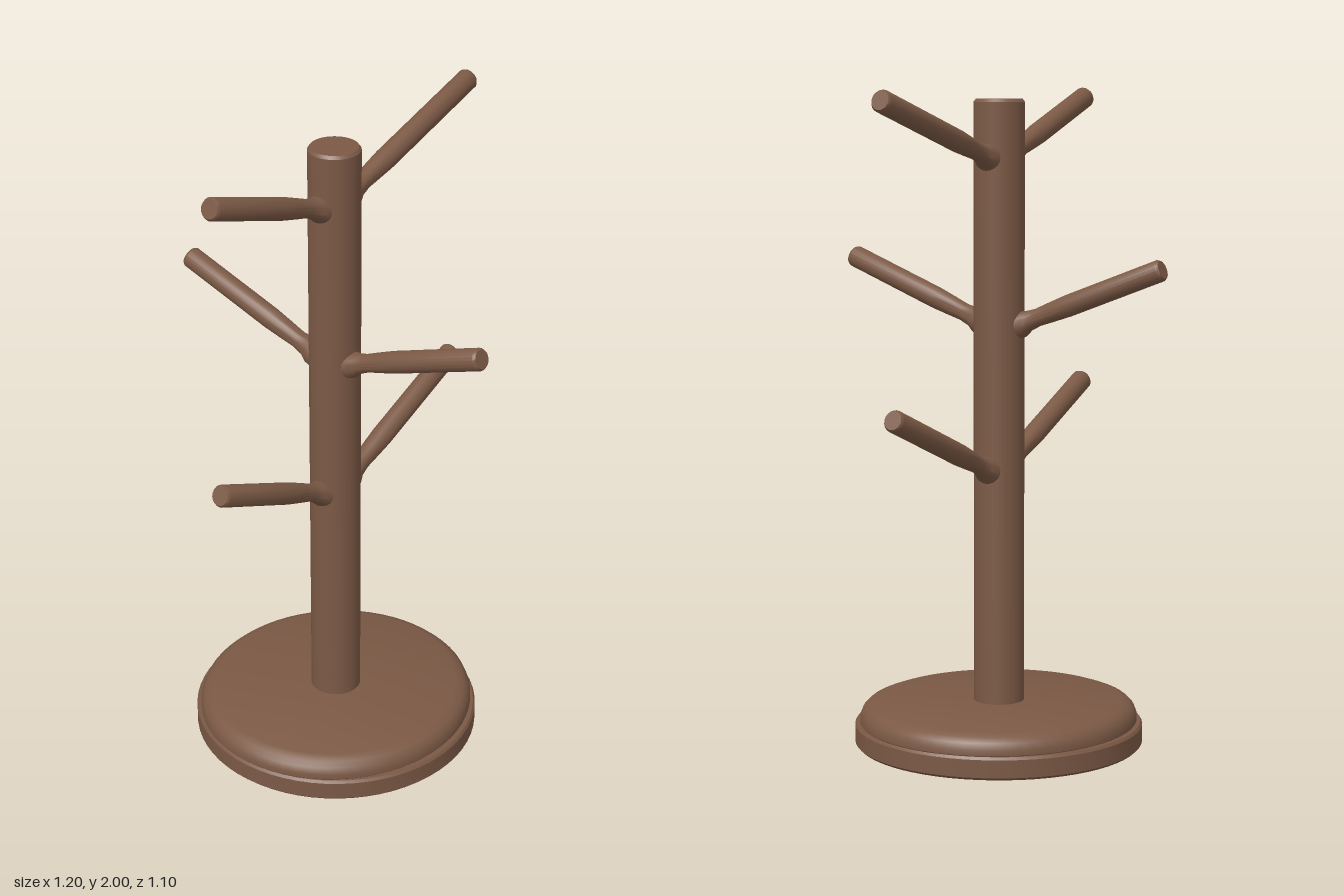
import * as THREE from 'three';
import { toCreasedNormals } from 'three/addons/utils/BufferGeometryUtils.js';

const wood = new THREE.MeshStandardMaterial({ color: 0x7b5945 });
wood.name = 'brown wood';

const POST_X = -0.057;
const POST_Z = -0.004;

// Solid of revolution from [radius, height] pairs, with crisp rims
function turned(name, profile, sides = 40) {
  const points = profile.map(([r, y]) => new THREE.Vector2(r, y));
  const geometry = toCreasedNormals(new THREE.LatheGeometry(points, sides), 0.6);
  const mesh = new THREE.Mesh(geometry, wood);
  mesh.name = name;
  return mesh;
}

// Peg from inside the post to its tip, with a flared root and a narrower neck
function branch(name, root, tip) {
  const a = new THREE.Vector3(...root);
  const b = new THREE.Vector3(...tip);
  const dir = b.clone().sub(a);
  const len = dir.length();
  const mesh = turned(name, [
    [0, -0.05], [0.044, -0.05], [0.042, 0], [0.031, 0.025], [0.027, 0.06], [0.030, 0.11],
    [0.033, 0.17], [0.033, len - 0.008], [0.028, len], [0, len],
  ], 20);
  mesh.position.copy(a);
  mesh.quaternion.setFromUnitVectors(new THREE.Vector3(0, 1, 0), dir.normalize());
  return mesh;
}

export function createModel() {
  const model = new THREE.Group();
  model.name = 'mugTree';

  // Base: lower disc and a rounded upper disc that is slightly narrower in depth
  const lower = turned('baseLower', [
    [0, 0], [0.434, 0], [0.442, 0.008], [0.442, 0.062], [0.436, 0.07], [0, 0.07],
  ], 64);
  lower.position.set(-0.056, 0, -0.004);
  const upper = turned('baseUpper', [
    [0, 0.06], [0.428, 0.06], [0.438, 0.072], [0.438, 0.088], [0.430, 0.108],
    [0.415, 0.122], [0.39, 0.131], [0, 0.133],
  ], 64);
  upper.position.set(-0.056, 0, -0.004);
  upper.scale.z = 0.962;
  model.add(lower, upper);

  // Post
  const post = turned('post', [
    [0, 0.1], [0.077, 0.1], [0.077, 1.957], [0.07, 1.966], [0, 1.966],
  ]);
  post.position.set(POST_X, 0, POST_Z);
  model.add(post);

  // Three pairs of branches, the middle pair running front to back
  model.add(
    branch('upperLeftBranch', [0.015, 1.797, POST_Z], [0.59, 1.968, -0.003]),
    branch('upperRightBranch', [-0.129, 1.8, POST_Z], [-0.594, 1.967, -0.004]),
    branch('frontBranch', [-0.064, 1.3, 0.068], [-0.084, 1.478, 0.538]),
    branch('backBranch', [-0.066, 1.296, -0.076], [-0.083, 1.476, -0.54]),
    branch('lowerLeftBranch', [0.015, 0.858, POST_Z], [0.534, 1.07, -0.003]),
    branch('lowerRightBranch', [-0.129, 0.865, POST_Z], [-0.585, 1.07, -0.004]),
  );
  return model;
}
